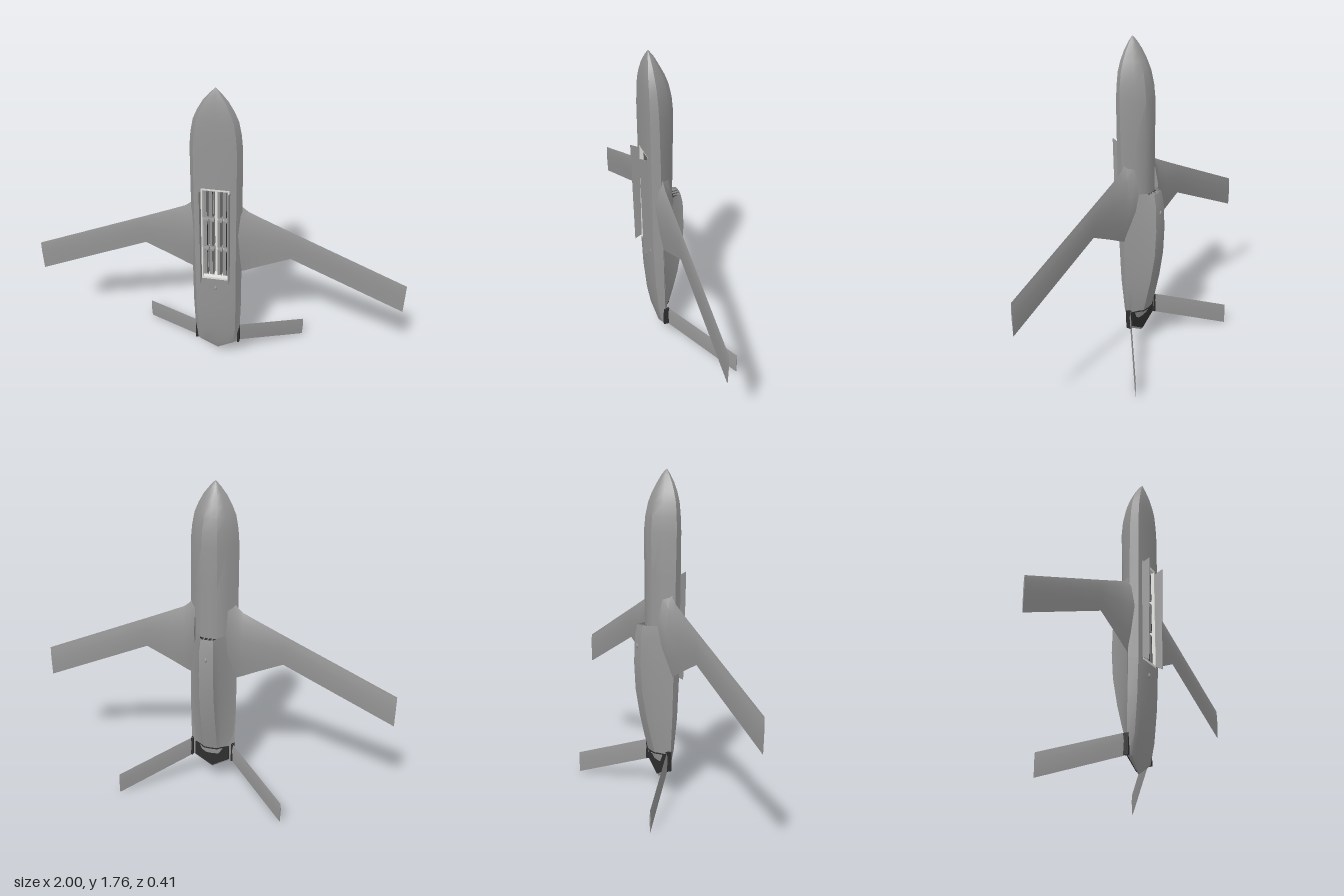
import * as THREE from 'three';
import { toCreasedNormals } from 'three/addons/utils/BufferGeometryUtils.js';

const mat = (name, color, side = THREE.FrontSide) => {
  const m = new THREE.MeshStandardMaterial({ color, side });
  m.name = name;
  return m;
};

// Skins closed rings of [x, y, z] points; skip(row, i) leaves a quad open.
function loft(rings, { caps = true, skip = () => false, crease = 0.6 } = {}) {
  const n = rings[0].length, pts = rings.flat(), idx = [];
  for (let r = 0; r < rings.length - 1; r++) {
    for (let i = 0; i < n; i++) {
      if (skip(r, i)) continue;
      const a = r * n + i, b = r * n + (i + 1) % n;
      idx.push(a, b, b + n, a, b + n, a + n);
    }
  }
  if (caps) {
    const last = (rings.length - 1) * n;
    for (let i = 1; i < n - 1; i++) idx.push(0, i + 1, i, last, last + i, last + i + 1);
  }
  // turn the faces outwards by the sign of the volume
  let volume = 0;
  const p = i => new THREE.Vector3(...pts[i]).sub(new THREE.Vector3(0, 0.8, 0.1));
  for (let i = 0; i < idx.length; i += 3) volume += p(idx[i]).dot(p(idx[i + 1]).cross(p(idx[i + 2])));
  if (volume < 0) idx.reverse();
  const g = new THREE.BufferGeometry();
  g.setAttribute('position', new THREE.Float32BufferAttribute(pts.flat(), 3));
  g.setIndex(idx);
  return toCreasedNormals(g, crease);
}

// Completes a half section, listed from the centre line round to the centre line.
const mirrorRing = (half, y) => [
  ...half.map(([x, z]) => [x, y, z]),
  ...half.slice(1, -1).reverse().map(([x, z]) => [-x, y, z]),
];

export function createModel() {
  const grey = mat('body grey', 0x969696, THREE.DoubleSide);
  const dark = mat('dark grey', 0x2e2e2e, THREE.DoubleSide);
  const light = mat('bay lining', 0xe2e2de);
  const model = new THREE.Group();
  const add = (name, geo, m, x = 0, y = 0, z = 0, parent = model) => {
    const mesh = new THREE.Mesh(geo, m);
    mesh.name = name;
    mesh.position.set(x, y, z);
    parent.add(mesh);
    return mesh;
  };
  const box = (w, h, d) => new THREE.BoxGeometry(w, h, d);

  // Fuselage stations: y, half width, back z, chine z, belly z
  const stations = [
    [1.768, 0.002, 0.123, 0.125, 0.127], [1.74, 0.030, 0.100, 0.124, 0.136],
    [1.70, 0.062, 0.078, 0.123, 0.146], [1.65, 0.090, 0.052, 0.122, 0.154],
    [1.60, 0.111, 0.033, 0.121, 0.158], [1.53, 0.124, 0.018, 0.119, 0.160],
    [1.45, 0.131, 0.011, 0.117, 0.161], [1.235, 0.132, 0.014, 0.113, 0.160],
    [0.95, 0.132, 0.018, 0.108, 0.158], [0.66, 0.132, 0.024, 0.102, 0.155],
    [0.45, 0.132, 0.035, 0.097, 0.145], [0.27, 0.127, 0.062, 0.092, 0.127],
    [0.16, 0.117, 0.078, 0.089, 0.106], [0.095, 0.004, 0.083, 0.086, 0.090],
  ];
  const bodyRings = stations.map(([y, w, zb, zc, zf]) => mirrorRing([
    [0, zb], [0.32 * w, zb + 0.03 * (zc - zb)], [0.66 * w, zb + 0.38 * (zc - zb)], [w, zc],
    [0.82 * w, zf - 0.12 * (zf - zc)], [0.55 * w, zf], [0, zf],
  ], y));
  const inBay = (r, i) => (r === 7 || r === 8) && (i === 5 || i === 6);
  add('fuselage', loft(bodyRings, { skip: inBay }), grey);

  // Engine hump on the back: y, top half width, top z, side z, base half width, base z
  const hump = [
    [0.958, 0.034, -0.032, 0.012, 0.124, 0.098], [0.90, 0.038, -0.044, 0.010, 0.128, 0.098],
    [0.75, 0.040, -0.049, 0.008, 0.130, 0.096], [0.60, 0.041, -0.040, 0.014, 0.130, 0.094],
    [0.45, 0.042, -0.014, 0.028, 0.128, 0.092], [0.34, 0.042, 0.012, 0.042, 0.122, 0.090],
    [0.25, 0.040, 0.035, 0.055, 0.105, 0.086],
  ].map(([y, t, zt, zs, w, z]) => mirrorRing(
    [[0, zt], [t, zt + 0.003], [t + 0.018, zs], [w, z], [0, z]], y));
  add('engineHump', loft(hump, { caps: false }), grey);

  // Dark plates closing the air intake and the exhaust
  const plug = (ring, depth) => loft([ring, ring.map(([x, y, z]) => [x * 0.98, y + depth, z])]);
  add('airIntake', plug(hump[0].map(([x, y, z]) => [x * 0.9, y - 0.012, z + 0.003]), -0.008), dark);
  add('exhaustFrame', plug(hump[hump.length - 1], -0.008), dark);
  add('exhaustNozzle', new THREE.CylinderGeometry(0.022, 0.022, 0.012, 6), grey, 0, 0.24, 0.06);
  for (const x of [-0.022, 0, 0.022]) add('intakeVane', box(0.004, 0.02, 0.036), grey, x, 0.944, -0.012);

  // Dark deck behind the exhaust
  const deckShape = new THREE.Shape([[-0.1, 0.25], [-0.1, 0.165], [0, 0.105], [0.1, 0.165], [0.1, 0.25]]
    .map(q => new THREE.Vector2(...q)));
  add('exhaustDeck', new THREE.ExtrudeGeometry(deckShape, { depth: 0.006, bevelEnabled: false }),
    dark, 0, 0, 0.074).rotation.x = 0;

  // Swept wings: x, leading edge y, trailing edge y, back and belly thickness
  const wingStations = [
    [0.09, 1.16, 0.67, 0.070, 0.040], [0.135, 1.105, 0.692, 0.044, 0.034],
    [0.165, 1.08, 0.705, 0.034, 0.026], [0.24, 1.046, 0.742, 0.021, 0.016],
    [0.39, 0.98, 0.81, 0.008, 0.007], [1.0, 0.715, 0.54, 0.003, 0.003],
  ];
  // chord position and thickness share round the section
  const foil = [[0, 0], [0.12, 0.6], [0.4, 1], [0.75, 0.5], [1, 0], [0.75, -0.5], [0.4, -1], [0.12, -0.6]];
  for (const side of [1, -1]) {
    const rings = wingStations.map(([x, le, te, up, down]) => {
      const z = 0.1 + (side > 0 ? 0.004 : -0.018) * x;
      return foil.map(([c, t]) => [side * x, le + (te - le) * c, z - t * (t > 0 ? up : down)]);
    });
    add(side > 0 ? 'leftWing' : 'rightWing', loft(rings, { crease: 0.5 }), grey);

    // Canted tail fins on dark hinge fairings
    const fin = [[0.115, 0.275, 0.16, 0.078], [0.468, 0.125, 0.006, -0.202]].map(([x, le, te, z]) =>
      [[0, 0], [0.35, 1], [1, 0], [0.35, -1]].map(([c, t]) =>
        [side * (x + t * 0.0025), le + (te - le) * c, z + t * 0.003]));
    add(side > 0 ? 'leftTailFin' : 'rightTailFin', loft(fin), grey);
    add('finHinge', box(0.012, 0.11, 0.03), dark, side * 0.12, 0.215, 0.083);

    // Open bay doors
    const door = new THREE.Shape([[0.15, 1.213], [0.204, 1.237], [0.192, 0.65], [0.145, 0.675]]
      .map(([z, y]) => new THREE.Vector2(-z, y)));
    const g = new THREE.ExtrudeGeometry(door, { depth: 0.005, bevelEnabled: false });
    g.rotateY(Math.PI / 2);
    add('bayDoor', g, grey, side * 0.075 - 0.0025, 0, 0);
  }

  // Recessed bay with three rows of four canisters
  const bay = new THREE.Group();
  bay.name = 'payloadBay';
  model.add(bay);
  add('bayFloor', box(0.144, 0.575, 0.005), light, 0, 0.9475, 0.102, bay);
  for (const s of [-1, 1]) {
    add('baySideWall', box(0.007, 0.575, 0.056), light, s * 0.069, 0.9475, 0.129, bay);
    add('bayEndWall', box(0.144, 0.012, 0.056), light, 0, 0.9475 + s * 0.2815, 0.129, bay);
  }
  for (const y of [0.762, 0.9475, 1.133]) {
    for (const x of [-0.05, -0.021, 0.021, 0.05]) {
      add('canister', box(0.024, 0.168, 0.036), grey, x, y, 0.122, bay);
      add('canisterSlot', box(0.004, 0.15, 0.003), dark, x + 0.007, y, 0.1405, bay);
    }
  }

  // Small blisters on belly and back
  const blister = new THREE.SphereGeometry(0.008, 10, 8).scale(1, 1.6, 0.8);
  add('bellyBlister', blister, grey, 0, 0.595, 0.153);
  add('backBlister', blister, grey, 0, 0.845, -0.047);

  return model;
}
